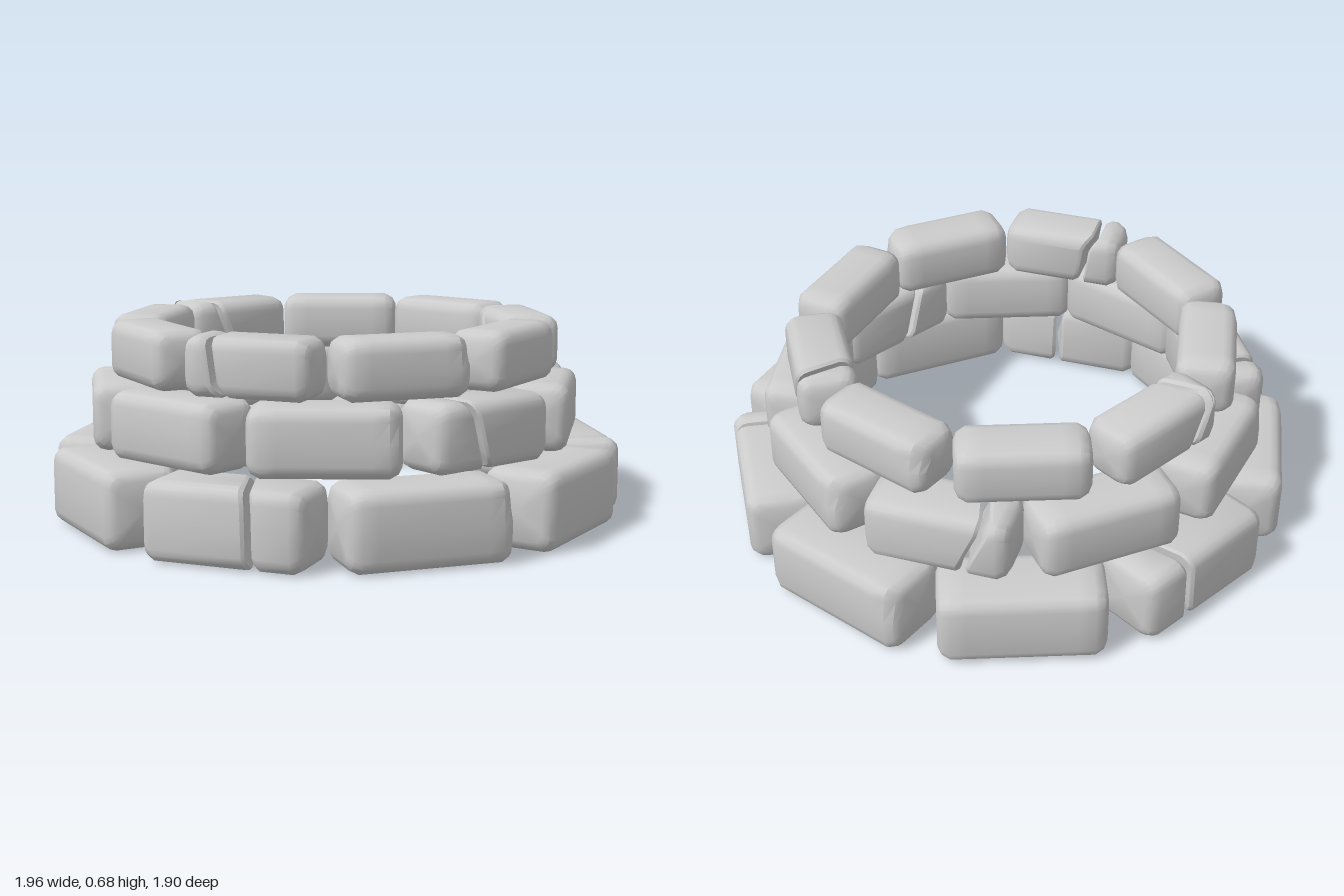
import * as THREE from 'three';
import { toCreasedNormals } from 'three/addons/utils/BufferGeometryUtils.js';

const stone = new THREE.MeshStandardMaterial({ color: 0xcccccc });

// Rounded rectangle cross-section, counter-clockwise from y to z, with a point mid-side
function section(h, d, inset) {
  const r = 0.045 - inset * 0.4, hy = h / 2 - inset, hz = d / 2 - inset, pts = [];
  const corners = [[1, 1], [-1, 1], [-1, -1], [1, -1]];
  corners.forEach(([sy, sz], c) => {
    for (let k = 0; k <= 3; k++) {
      const a = (c + k / 3) * Math.PI / 2;
      pts.push([sy * (hy - r) + r * Math.cos(a), sz * (hz - r) + r * Math.sin(a)]);
    }
    pts.push([[0, hz], [-hy, 0], [0, -hz], [hy, 0]][c]);
  });
  return pts;
}

// Loft through stations of { x, inset, skew(y, z), chip }, closed by a fan at both ends
function loft(h, d, stations) {
  const pos = [], idx = [];
  const rows = stations.map(s => section(h, d, s.inset).map(([y, z]) => [
    s.x + (s.skew ? s.skew(y, z) : 0), y,
    z - (s.chip && z > 0 && y > 0 ? s.chip : 0),
  ]));
  const n = rows[0].length;
  rows.forEach(row => row.forEach(p => pos.push(...p)));
  for (let i = 0; i < rows.length - 1; i++) {
    for (let j = 0; j < n; j++) {
      const a = i * n + j, b = i * n + (j + 1) % n;
      idx.push(a, b, a + n, b, b + n, a + n);
    }
  }
  [0, rows.length - 1].forEach(i => {
    const centre = pos.length / 3;
    pos.push(stations[i].x, 0, 0);
    for (let j = 0; j < n; j++) {
      const a = i * n + j, b = i * n + (j + 1) % n;
      idx.push(centre, ...(i === 0 ? [b, a] : [a, b]));
    }
  });
  const geo = new THREE.BufferGeometry();
  geo.setAttribute('position', new THREE.Float32BufferAttribute(pos, 3));
  geo.setIndex(idx);
  return toCreasedNormals(geo, 0.6);
}

// Bevelled free end of a block; side is -1 or +1
const freeEnd = (len, side, chip = 0) => {
  const list = [[0, 0.035, chip], [0.012, 0.014, chip * 0.7], [0.04, 0, chip * 0.3], [0.09, 0, 0]]
    .map(([t, inset, c]) => ({ x: side * (len / 2 - t), inset, chip: c }));
  return side < 0 ? list : list.reverse();
};

// Whole block, or two pieces parted by a slanted, wavy crack
function makeBlock({ len, h, d }, crack, chipped) {
  const block = new THREE.Group();
  const add = (name, stations) => {
    const mesh = new THREE.Mesh(loft(h, d, stations), stone);
    mesh.name = name;
    block.add(mesh);
  };
  if (!crack) {
    add('stone', [...freeEnd(len, -1), ...freeEnd(len, 1, chipped ? 0.025 : 0)]);
    return block;
  }
  const [top, bottom, inner] = crack;
  const mid = (top + bottom) / 2 * 0.5 + (top + inner) / 4;
  const skew = (y, z) => (top - bottom) * y / h + (top - inner) * z / d
    + 0.008 * Math.sin(y / h * 6) + 0.008 * Math.sin(z / d * 6);
  const edge = (x, inset) => ({ x: mid + x, inset, skew });
  add('stoneLeftPiece', [...freeEnd(len, -1).slice(0, 3), edge(-0.022, 0), edge(-0.011, 0.008)]);
  add('stoneRightPiece', [edge(0.011, 0.008), edge(0.022, 0), ...freeEnd(len, 1).slice(1)]);
  return block;
}

// Courses from the ground up; cracks are keyed by the angle of the block in degrees
const courses = [
  { name: 'bottomCourse', y: 0, h: 0.255, d: 0.25, len: 0.535, r: 0.94, z: -0.02, start: 20,
    cracks: { 180: [-0.11, -0.08, -0.14], 60: [-0.17, -0.11, -0.13], 300: [0.07, 0.1, 0.01] } },
  { name: 'middleCourse', y: 0.257, h: 0.223, d: 0.22, len: 0.475, r: 0.822, z: -0.037, start: 0,
    cracks: { 0: [-0.09, 0, -0.07], 120: [0.13, 0.06, 0.1], 240: [-0.12, -0.05, -0.1] } },
  { name: 'topCourse', y: 0.482, h: 0.195, d: 0.195, len: 0.425, r: 0.742, z: -0.033, start: 20,
    cracks: { 180: [0.13, 0.07, 0.07], 60: [0.12, 0.04, 0.09], 300: [-0.12, -0.06, -0.09] } },
];

export function createModel() {
  const model = new THREE.Group();
  model.name = 'stoneRing';
  for (const course of courses) {
    const ring = new THREE.Group();
    ring.name = course.name;
    for (let i = 0; i < 9; i++) {
      const deg = course.start + i * 40, a = THREE.MathUtils.degToRad(deg);
      const block = makeBlock(course, course.cracks[deg], i % 3 === 2);
      block.name = `block${i + 1}`;
      const r = course.r - course.d / 2;
      block.position.set(r * Math.sin(a) * 1.02, course.y + course.h / 2, r * Math.cos(a) + course.z);
      block.rotation.y = a;
      ring.add(block);
    }
    model.add(ring);
  }
  return model;
}
